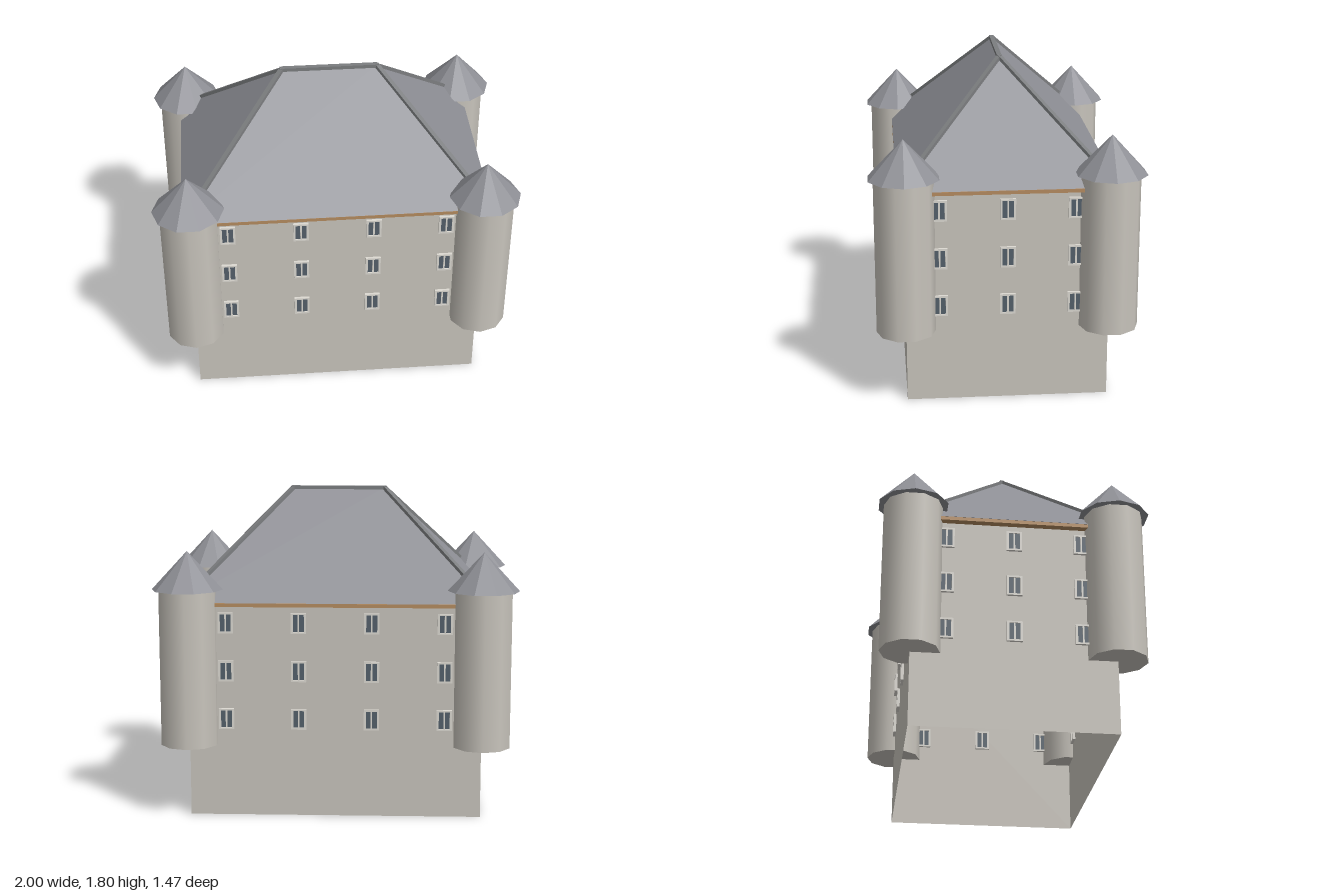
import * as THREE from 'three';

const W = 0.805, D = 0.548, EAVE = 1.2;      // wall half sizes, eave height
const RW = 0.845, RD = 0.585, RIDGE_X = 0.26, RIDGE_Y = 1.785;

function material(name, color, side = THREE.FrontSide) {
  const m = new THREE.MeshStandardMaterial({ color, side });
  m.name = name;
  return m;
}

function add(parent, name, geometry, mat, x = 0, y = 0, z = 0) {
  const mesh = new THREE.Mesh(geometry, mat);
  mesh.name = name;
  mesh.position.set(x, y, z);
  parent.add(mesh);
  return mesh;
}

function faceted(geometry) {
  const g = geometry.index ? geometry.toNonIndexed() : geometry;
  g.computeVertexNormals();
  return g;
}

export function createModel() {
  const castle = new THREE.Group();
  castle.name = 'castle';
  const plaster = material('plaster', 0xc8c4bc, THREE.DoubleSide);
  const slate = material('slate', 0x8f9096);
  const ridgeGrey = material('ridge grey', 0x7c7e80);
  const wood = material('wood', 0xb58c60);
  const frameWhite = material('frame white', 0xdcd9d2);
  const glass = material('glass', 0x54606b);

  // Window: frame bars and mullion around a recessed pane
  const box = (w, h, d) => new THREE.BoxGeometry(w, h, d);
  const sideBar = box(0.012, 0.115, 0.03), endBar = box(0.084, 0.01, 0.03);
  const mullionBar = box(0.009, 0.1, 0.026), pane = box(0.07, 0.102, 0.016);
  function windowUnit(x, y, z) {
    const g = new THREE.Group();
    g.name = 'window';
    for (const s of [-1, 1]) {
      add(g, 'frameSide', sideBar, frameWhite, s * 0.036);
      add(g, 'frameEnd', endBar, frameWhite, 0, s * 0.0525);
    }
    add(g, 'mullion', mullionBar, frameWhite);
    add(g, 'pane', pane, glass);
    g.position.set(x, y, z);
    return g;
  }

  // Four open-bottomed walls, each with its rows of windows
  for (let i = 0; i < 4; i++) {
    const long = i % 2 === 0;
    const width = long ? W * 2 : D * 2, depth = long ? D : W;
    const columns = long ? [-0.6, -0.2, 0.2, 0.6] : [-0.365, 0, 0.365];
    const side = new THREE.Group();
    side.name = ['frontSide', 'leftSide', 'backSide', 'rightSide'][i];
    side.rotation.y = i * Math.PI / 2;
    add(side, 'wall', new THREE.PlaneGeometry(width, EAVE - 0.01), plaster, 0, (EAVE - 0.01) / 2, depth);
    for (const y of [0.55, 0.818, 1.086])
      for (const x of columns) side.add(windowUnit(x, y, depth));
    castle.add(side);
  }

  // Wooden cornice under the eaves
  add(castle, 'cornice', box(RW * 2, 0.02, RD * 2), wood, 0, EAVE - 0.011, 0);

  // Hipped roof
  const eaves = [[-RW, RD], [RW, RD], [RW, -RD], [-RW, -RD]].map(([x, z]) => [x, EAVE, z]);
  const [a, b, c, d] = eaves;
  const l = [-RIDGE_X, RIDGE_Y, 0], r = [RIDGE_X, RIDGE_Y, 0];
  const faces = [a, b, r, a, r, l, b, c, r, c, d, l, c, l, r, d, a, l, a, d, c, a, c, b];
  const roof = new THREE.BufferGeometry();
  roof.setAttribute('position', new THREE.Float32BufferAttribute(faces.flat(), 3));
  add(castle, 'roof', faceted(roof), slate);

  // Ridge and hip cappings
  function capping(name, from, to) {
    const p = new THREE.Vector3(...from), q = new THREE.Vector3(...to);
    const bar = add(castle, name, box(0.026, 0.02, p.distanceTo(q) + 0.01), ridgeGrey);
    bar.position.copy(p).add(q).multiplyScalar(0.5);
    bar.lookAt(q);
  }
  capping('ridgeCap', l, r);
  eaves.forEach((corner) => capping('hipCap', corner, corner[0] < 0 ? l : r));

  // Corner towers with pointed roofs
  const shaft = new THREE.CylinderGeometry(0.16, 0.16, 0.86, 10);
  const spire = faceted(new THREE.ConeGeometry(0.195, 0.21, 10).rotateY(Math.PI / 2));
  for (const sx of [-1, 1]) {
    for (const sz of [-1, 1]) {
      const tower = new THREE.Group();
      tower.name = 'tower';
      tower.position.set(sx * W, 0, sz * D);
      add(tower, 'shaft', shaft, plaster, 0, 0.838, 0);
      add(tower, 'spire', spire, slate, 0, 1.375, 0);
      castle.add(tower);
    }
  }
  return castle;
}
